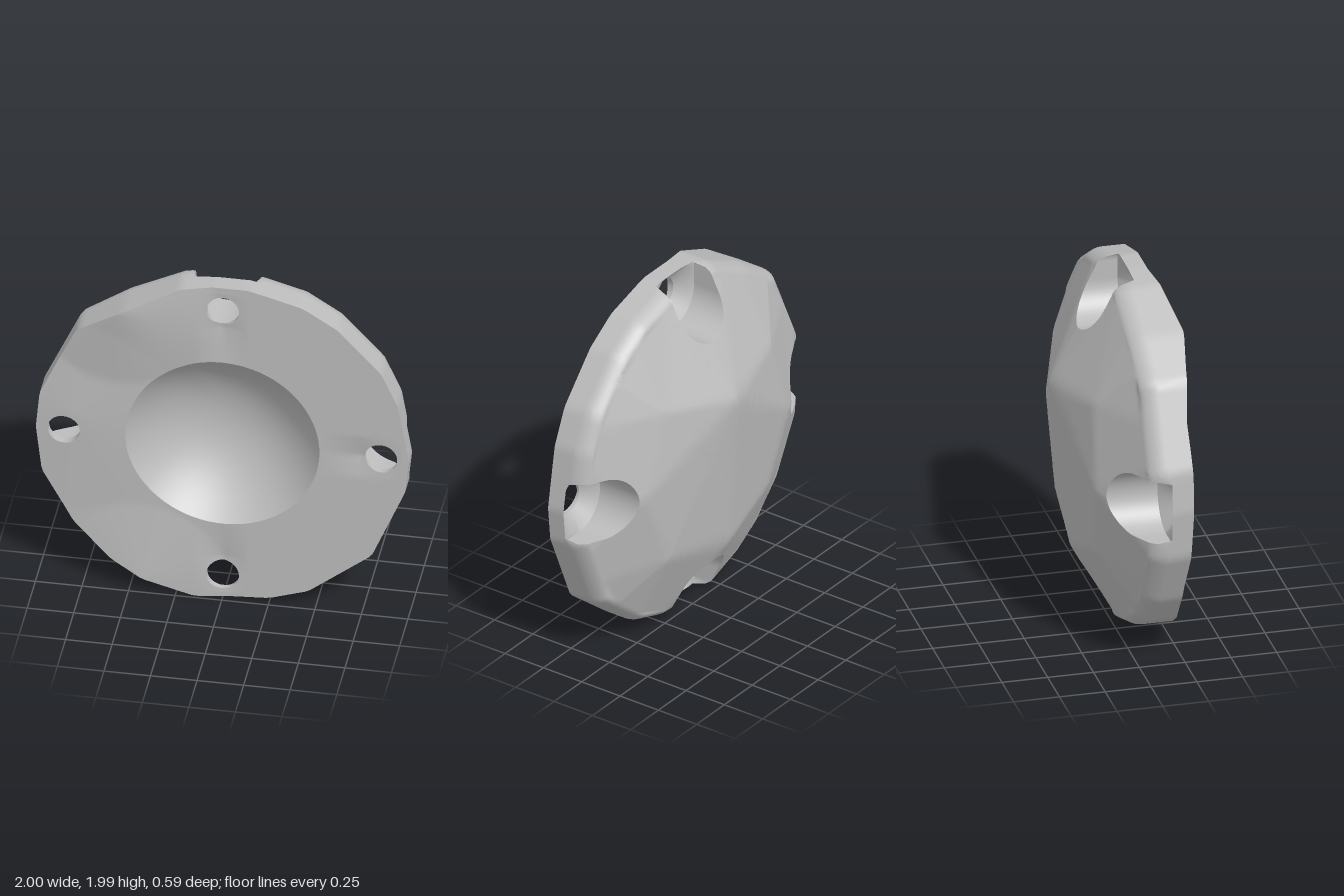
import * as THREE from 'three';
import { mergeGeometries, toCreasedNormals } from 'three/addons/utils/BufferGeometryUtils.js';

const HOLE_AT = 0.85, HOLE_R = 0.087, POCKET_R = 0.18, FLOOR_Z = 0.12, HOLE_Z = 0.19, BOWL_R = 0.52;
const lerp = THREE.MathUtils.lerp;

// Irregular outline of the disc, relative to its centre
const OUTLINE = [[1, 0], [0.94, 0.35], [0.85, 0.55], [0.62, 0.8], [0.43, 0.92], [0.14, 1], [-0.05, 1],
  [-0.23, 0.98], [-0.53, 0.83], [-0.78, 0.66], [-0.98, 0.22], [-1, 0], [-0.97, -0.28], [-0.8, -0.6],
  [-0.6, -0.8], [-0.43, -0.9], [-0.15, -0.995], [0.25, -0.97], [0.46, -0.9], [0.8, -0.63], [0.98, -0.2]];

// Outline radius in a given direction
function rimRadius(angle) {
  const c = Math.cos(angle), s = Math.sin(angle);
  let best = 1;
  OUTLINE.forEach((p, i) => {
    const q = OUTLINE[(i + 1) % OUTLINE.length];
    const dx = q[0] - p[0], dy = q[1] - p[1];
    const det = c * dy - s * dx;
    const r = (p[0] * dy - p[1] * dx) / det;
    const t = (p[0] * s - p[1] * c) / det;
    if (r > 0 && t >= -1e-6 && t <= 1 + 1e-6) best = r;
  });
  return best;
}

// Faceted dome: inner corners, each with the first ring step it is fanned out to
const CORNERS = [
  { at: [0.01, 0.37, -0.3], from: 5 }, { at: [-0.46, 0.43, -0.18], from: 7 },
  { at: [-0.6, -0.02, -0.2], from: 10 }, { at: [-0.45, -0.42, -0.17], from: 14 },
  { at: [-0.05, -0.57, -0.2], from: 16 }, { at: [0.43, -0.46, -0.16], from: 20 },
  { at: [0.64, 0, -0.155], from: 22 }, { at: [0.46, 0.45, -0.16], from: 26 }];
const ringPoint = (k) => {
  const a = k * Math.PI / 12, r = 0.95 * rimRadius(a);
  return [r * Math.cos(a), r * Math.sin(a), 0];
};
const FACETS = [];
CORNERS.forEach(({ at, from }, i) => {
  const next = CORNERS[(i + 1) % CORNERS.length];
  const end = next.from > from ? next.from : next.from + 24;
  for (let k = from; k < end; k++) FACETS.push([at, ringPoint(k), ringPoint(k + 1)]);
  FACETS.push([at, ringPoint(end), next.at]);
  if (i > 0 && i < CORNERS.length - 1) FACETS.push([CORNERS[0].at, at, next.at]);
});

function backZ(x, y) {
  const s = Math.hypot(x, y) / rimRadius(Math.atan2(y, x));
  if (s > 0.95) {
    const u = Math.min(1, (s - 0.95) / 0.05);
    return 0.03 * u + 0.07 * (1 - Math.sqrt(1 - u * u));
  }
  let best = -Infinity, z = 0;
  for (const [p, q, r] of FACETS) {
    const det = (q[1] - r[1]) * (p[0] - r[0]) + (r[0] - q[0]) * (p[1] - r[1]);
    const u = ((q[1] - r[1]) * (x - r[0]) + (r[0] - q[0]) * (y - r[1])) / det;
    const v = ((r[1] - p[1]) * (x - r[0]) + (p[0] - r[0]) * (y - r[1])) / det;
    const inside = Math.min(u, v, 1 - u - v);
    if (inside > best) {
      best = inside;
      z = u * p[2] + v * q[2] + (1 - u - v) * r[2];
    }
  }
  return Math.min(z, 0);
}

// Nearly flat front with raised spots by the rim and shallow grooves from holes to hollow
function frontZ(x, y) {
  const bump = (bx, by, h, w) => h * Math.max(0, 1 - Math.hypot(x - bx, y - by) / w);
  const groove = (along, across) => 0.02 * Math.max(0, 1 - Math.abs(across) / 0.13)
    * Math.max(0, 1 - Math.abs(along - 0.74) / 0.22);
  return 0.22 + bump(-0.53, 0.83, 0.08, 0.5) + bump(-0.43, -0.9, 0.04, 0.45) + bump(-0.8, 0.1, 0.025, 0.6)
    - groove(x, y) - groove(y, x) - groove(-y, x);
}

// Skin over rows of points, raised so the disc stands on the ground
function skin(rows, flip = false) {
  const pos = [], tri = new THREE.Triangle();
  const add = (a, b, c) => {
    tri.set(...[a, b, c].map((p) => new THREE.Vector3(...p)));
    if (tri.getArea() < 1e-8) return;
    for (const p of flip ? [a, c, b] : [a, b, c]) pos.push(p[0], p[1] + 1, p[2]);
  };
  for (let i = 0; i + 1 < rows.length; i++) {
    for (let j = 0; j + 1 < rows[i].length; j++) {
      const a = rows[i][j], b = rows[i][j + 1], c = rows[i + 1][j + 1], d = rows[i + 1][j];
      add(a, d, c);
      add(a, c, b);
    }
  }
  const g = new THREE.BufferGeometry();
  g.setAttribute('position', new THREE.Float32BufferAttribute(pos, 3));
  return g;
}

// Closed border of one quarter, from the rim in to a given inner radius
function quarterBorder(mid, inner) {
  const pts = [], n = 48, edge = 28, h = Math.PI / 4;
  const put = (a, r) => pts.push([r * Math.cos(a), r * Math.sin(a)]);
  // side edges are sampled more finely towards the rim
  const along = (a, i) => put(a, lerp(rimRadius(a), inner, (i / edge) ** 2));
  for (let i = 0; i < n; i++) { const a = mid - h + 2 * h * i / n; put(a, rimRadius(a)); }
  for (let i = 0; i < edge; i++) along(mid + h, i);
  for (let i = 0; i < 20; i++) put(mid + h - 2 * h * i / 20, inner);
  for (let i = edge; i >= 0; i--) along(mid - h, i);
  return pts;
}

// One quarter of the front or back, spread out from its bolt hole
function quarter(q, isBack) {
  const mid = q * Math.PI / 2;
  const hx = HOLE_AT * Math.cos(mid), hy = HOLE_AT * Math.sin(mid);
  const border = quarterBorder(mid, isBack ? 0 : BOWL_R);
  const steps = 20;
  const columns = border.map(([bx, by]) => {
    const dist = Math.hypot(bx - hx, by - hy), dx = (bx - hx) / dist, dy = (by - hy) / dist;
    const at = (r, z) => {
      const x = hx + dx * r, y = hy + dy * r;
      return [x, y, z === undefined ? (isBack ? backZ(x, y) : frontZ(x, y)) : z];
    };
    if (!isBack) {
      const column = [at(HOLE_R, HOLE_Z)];
      for (let i = 0; i <= steps; i++) column.push(at(lerp(HOLE_R, dist, i / steps)));
      return column;
    }
    // U-shaped pocket with a dished floor, open towards the rim
    const phi = Math.atan2(dy, dx) - mid;
    const reach = Math.cos(phi) > 0 ? POCKET_R / Math.max(1e-4, Math.abs(Math.sin(phi))) : POCKET_R;
    const open = reach >= dist, edge = Math.min(reach, dist);
    const column = [at(HOLE_R, HOLE_Z), at(Math.min(edge, POCKET_R), FLOOR_Z), at(edge, FLOOR_Z)];
    for (let i = 0; i <= steps; i++) {
      const t = 1 - (1 - i / steps) ** 2;
      column.push(at(lerp(edge, dist, t), open ? FLOOR_Z : undefined));
    }
    return column;
  });
  return skin(columns[0].map((_, i) => columns.map((c) => c[i])), isBack);
}

export function createModel() {
  const group = new THREE.Group();
  const grey = new THREE.MeshStandardMaterial({ color: 0xbcbcbc, side: THREE.DoubleSide });
  grey.name = 'plain grey';
  const addPart = (name, geometry, crease) => {
    const mesh = new THREE.Mesh(toCreasedNormals(geometry, crease), grey);
    mesh.name = name;
    group.add(mesh);
  };
  const quarters = [0, 1, 2, 3];

  addPart('frontFace', mergeGeometries(quarters.map((q) => quarter(q, false))), 0.5);
  addPart('domedBack', mergeGeometries(quarters.map((q) => quarter(q, true))), 0.8);

  // Rim band, lower where the pockets open through it
  const rim = [[], []];
  for (let i = 0; i <= 192; i++) {
    const a = -Math.PI / 4 + i * Math.PI / 96, r = rimRadius(a);
    const x = r * Math.cos(a), y = r * Math.sin(a);
    const open = Math.min(Math.abs(x), Math.abs(y)) < POCKET_R;
    rim[0].push([x, y, frontZ(x, y)]);
    rim[1].push([x, y, open ? FLOOR_Z : 0.1]);
  }
  addPart('rimBand', skin(rim), 0.6);

  // Round hollow in the front
  const bowl = [];
  for (let i = 0; i <= 12; i++) {
    const s = Math.sin(i / 12 * Math.PI / 2);
    bowl.push(Array.from({ length: 81 }, (_, j) => {
      const a = -Math.PI / 4 + j * Math.PI / 40, c = Math.cos(a), d = Math.sin(a);
      const top = frontZ(BOWL_R * c, BOWL_R * d);
      return [BOWL_R * s * c, BOWL_R * s * d, lerp(-0.05, top, s ** 2.2)];
    }));
  }
  addPart('frontBowl', skin(bowl), 0.6);
  return group;
}
